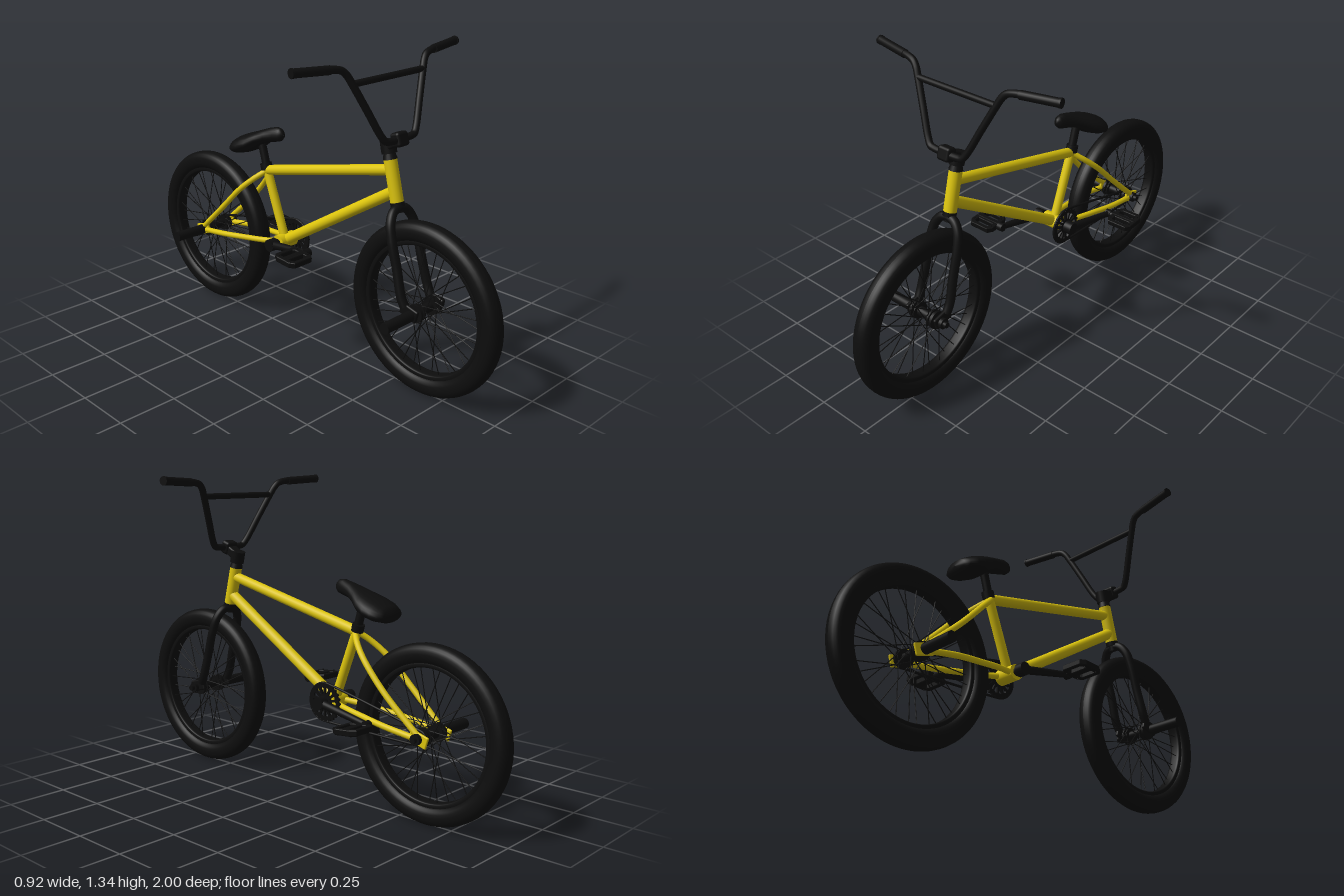
import * as THREE from 'three';
import { RoundedBoxGeometry } from 'three/addons/geometries/RoundedBoxGeometry.js';

const black = new THREE.MeshStandardMaterial({ color: 0x0d0d0d });
const yellow = new THREE.MeshStandardMaterial({ color: 0xdcc40c });
const V = (x, y, z) => new THREE.Vector3(x, y, z);

export function createModel() {
  const bike = new THREE.Group();
  bike.name = 'bicycle';

  const add = (parent, name, geo, mat = black) => {
    const m = new THREE.Mesh(geo, mat);
    m.name = name;
    parent.add(m);
    return m;
  };
  // Capped straight tube between two points
  const rod = (parent, name, a, b, r, mat = black, r2 = r, sides = 20) => {
    const m = add(parent, name, new THREE.CylinderGeometry(r2, r, a.distanceTo(b), sides), mat);
    m.position.copy(a).add(b).multiplyScalar(0.5);
    m.quaternion.setFromUnitVectors(V(0, 1, 0), b.clone().sub(a).normalize());
    return m;
  };
  // Bent tube through points
  const bent = (parent, name, pts, r, mat = black, closed = false) =>
    add(parent, name, new THREE.TubeGeometry(new THREE.CatmullRomCurve3(pts, closed, 'centripetal'), 90, r, 14, closed), mat);
  // Rod parallel to the axles
  const axial = (parent, name, x0, x1, y, z, r, mat = black) =>
    rod(parent, name, V(x0, y, z), V(x1, y, z), r, mat, r, 28);
  // Closed profile turned around the wheel axis
  const ring = (parent, name, c, hr, hx, power) => {
    const pts = [];
    for (let i = 0; i <= 24; i++) {
      const a = (i % 24) / 24 * Math.PI * 2, f = v => Math.sign(v) * Math.abs(v) ** power;
      pts.push(new THREE.Vector2(c + hr * f(Math.cos(a)), hx * f(Math.sin(a))));
    }
    add(parent, name, new THREE.LatheGeometry(pts, 72)).rotation.z = Math.PI / 2;
  };

  // Wheels with hub, crossed spokes and pegs
  const axleY = 0.365;
  for (const [name, z] of [['frontWheel', 0.64], ['rearWheel', -0.64]]) {
    const w = new THREE.Group();
    w.name = name;
    w.position.set(0, axleY, z);
    bike.add(w);
    ring(w, 'tire', 0.319, 0.041, 0.042, 0.85);
    ring(w, 'rim', 0.278, 0.013, 0.026, 0.5);
    axial(w, 'hub', -0.05, 0.05, 0, 0, 0.02);
    axial(w, 'axle', -0.1, 0.115, 0, 0, 0.012);
    axial(w, 'peg', -0.235, -0.09, 0, 0, 0.022);
    for (const s of [-1, 1]) {
      axial(w, 'hubFlange', s * 0.034, s * 0.041, 0, 0, 0.036);
      axial(w, 'hubGuard', s * 0.05, s * 0.062, 0, 0, 0.038);
      axial(w, 'axleNut', s * 0.082, s * 0.1, 0, 0, 0.022);
      for (let i = 0; i < 18; i++) {
        const a = (i + (s > 0 ? 0.5 : 0)) / 18 * Math.PI * 2;
        const h = a + (i % 2 ? 1.25 : -1.25);
        rod(w, 'spoke', V(s * 0.037, 0.031 * Math.cos(h), 0.031 * Math.sin(h)),
          V(s * 0.006, 0.272 * Math.cos(a), 0.272 * Math.sin(a)), 0.0021, black, 0.0021, 5);
      }
    }
  }

  // Frame
  const frame = new THREE.Group();
  frame.name = 'frame';
  bike.add(frame);
  const bb = V(0, 0.425, -0.155), seatTop = V(0, 0.735, -0.272);
  const headLow = V(0, 0.77, 0.484), headHigh = V(0, 0.935, 0.443);
  rod(frame, 'headTube', headLow, headHigh, 0.027, yellow);
  rod(frame, 'topTube', V(0, 0.893, 0.45), V(0, 0.726, -0.268), 0.022, yellow);
  rod(frame, 'downTube', V(0, 0.81, 0.47), bb, 0.024, yellow);
  rod(frame, 'seatTube', bb, seatTop, 0.02, yellow);
  axial(frame, 'bottomBracketShell', -0.046, 0.046, bb.y, bb.z, 0.033, yellow);
  for (const s of [-1, 1]) {
    bent(frame, 'seatStay', [V(s * 0.012, 0.72, -0.27), V(s * 0.045, 0.685, -0.31), V(s * 0.073, 0.63, -0.37),
      V(s * 0.085, 0.52, -0.48), V(s * 0.078, 0.38, -0.635)], 0.0125, yellow);
    bent(frame, 'chainStay', [V(s * 0.025, 0.425, -0.16), V(s * 0.05, 0.415, -0.24), V(s * 0.068, 0.4, -0.36),
      V(s * 0.082, 0.385, -0.48), V(s * 0.077, 0.362, -0.64)], 0.0125, yellow);
    const d = add(frame, 'dropout', new RoundedBoxGeometry(0.012, 0.05, 0.085, 3, 0.005), yellow);
    d.position.set(s * 0.076, 0.365, -0.642);
    d.rotation.x = -0.3;
  }

  // Fork with curved crown
  const fork = new THREE.Group();
  fork.name = 'fork';
  bike.add(fork);
  rod(fork, 'steerer', V(0, 0.73, 0.495), V(0, 0.985, 0.432), 0.019);
  rod(fork, 'lowerHeadset', V(0, 0.752, 0.489), headLow, 0.028);
  rod(fork, 'upperHeadset', headHigh, V(0, 0.962, 0.437), 0.029, black, 0.022);
  for (const s of [-1, 1]) {
    bent(fork, 'forkLeg', [V(0, 0.75, 0.493), V(s * 0.035, 0.74, 0.497), V(s * 0.062, 0.705, 0.508), V(s * 0.074, 0.64, 0.527),
      V(s * 0.075, 0.53, 0.558), V(s * 0.08, 0.43, 0.586), V(s * 0.078, 0.39, 0.604)], 0.019);
    const d = add(fork, 'forkDropout', new RoundedBoxGeometry(0.016, 0.05, 0.085, 3, 0.007));
    d.position.set(s * 0.077, 0.375, 0.628);
    d.rotation.x = 0.25;
  }

  // Stem and handlebar
  const steering = new THREE.Group();
  steering.name = 'steering';
  bike.add(steering);
  rod(steering, 'stemSteererClamp', V(0, 0.958, 0.438), V(0, 1.008, 0.426), 0.031);
  const stem = add(steering, 'stemBody', new RoundedBoxGeometry(0.05, 0.04, 0.075, 3, 0.008));
  stem.position.set(0, 1.003, 0.458);
  stem.rotation.x = -0.5;
  const clamp = add(steering, 'barClamp', new RoundedBoxGeometry(0.062, 0.058, 0.046, 3, 0.012));
  clamp.position.set(0, 1.023, 0.488);
  clamp.rotation.x = -0.3;
  const half = [V(0.06, 1.025, 0.49), V(0.082, 1.03, 0.489), V(0.1, 1.052, 0.482), V(0.15, 1.155, 0.453), V(0.2, 1.257, 0.424),
    V(0.217, 1.288, 0.415), V(0.235, 1.306, 0.409), V(0.265, 1.315, 0.404), V(0.36, 1.321, 0.39), V(0.45, 1.325, 0.376)];
  const barPoints = [...half.map(p => V(-p.x, p.y, p.z)).reverse(), ...half];
  const bar = new THREE.CatmullRomCurve3(barPoints, false, 'centripetal');
  add(steering, 'handlebar', new THREE.TubeGeometry(bar, 200, 0.0145, 14));
  rod(steering, 'crossbar', V(-0.197, 1.255, 0.425), V(0.197, 1.255, 0.425), 0.013);
  for (const s of [-1, 1]) {
    rod(steering, 'grip', V(s * 0.29, 1.3165, 0.4), V(s * 0.452, 1.325, 0.376), 0.0175);
    rod(steering, 'gripEnd', V(s * 0.449, 1.325, 0.3765), V(s * 0.457, 1.325, 0.375), 0.019);
  }

  // Seat post, clamp and lofted saddle
  rod(bike, 'seatPost', V(0, 0.72, -0.266), V(0, 0.87, -0.31), 0.018);
  rod(bike, 'seatClamp', V(0, 0.727, -0.27), V(0, 0.757, -0.279), 0.026);
  // Stations: z, half width, top, bottom
  const stations = [[-0.163, 0.001, 0.905, 0.903], [-0.167, 0.014, 0.921, 0.887], [-0.18, 0.023, 0.932, 0.875],
    [-0.205, 0.03, 0.934, 0.868], [-0.25, 0.044, 0.921, 0.858], [-0.29, 0.064, 0.906, 0.84], [-0.33, 0.087, 0.891, 0.808],
    [-0.37, 0.097, 0.877, 0.79], [-0.405, 0.094, 0.863, 0.781], [-0.435, 0.076, 0.847, 0.779],
    [-0.449, 0.055, 0.836, 0.787], [-0.454, 0.001, 0.812, 0.81]];
  const n = 28, pos = [], idx = [];
  stations.forEach(([z, w, top, bottom], k) => {
    for (let i = 0; i < n; i++) {
      const a = i / n * Math.PI * 2, h = top - bottom, base = bottom + h * 0.4;
      pos.push(w * Math.cos(a), base + Math.sin(a) * h * (Math.sin(a) > 0 ? 0.6 : 0.4), z);
      const j = (i + 1) % n, p = k * n;
      if (k < stations.length - 1) idx.push(p + i, p + n + i, p + j, p + j, p + n + i, p + n + j);
    }
  });
  const saddle = new THREE.BufferGeometry();
  saddle.setAttribute('position', new THREE.Float32BufferAttribute(pos, 3));
  saddle.setIndex(idx);
  saddle.computeVertexNormals();
  add(bike, 'saddle', saddle);

  // Drivetrain: sprocket with cut-outs, rear cog and chain
  const drive = new THREE.Group();
  drive.name = 'drivetrain';
  bike.add(drive);
  const disc = new THREE.Shape();
  for (let i = 0; i < 100; i++) {
    const a = i / 100 * Math.PI * 2, r = i % 4 < 2 ? 0.083 : 0.077;
    disc[i ? 'lineTo' : 'moveTo'](r * Math.cos(a), r * Math.sin(a));
  }
  for (let i = 0; i < 14; i++) {
    const a = i / 14 * Math.PI * 2, p = (r, d) => new THREE.Vector2(r * Math.cos(a + d), r * Math.sin(a + d));
    disc.holes.push(new THREE.Path([p(0.034, -0.08), p(0.06, -0.15), p(0.064, 0), p(0.06, 0.15), p(0.034, 0.08)]));
  }
  const sprocket = add(drive, 'sprocket', new THREE.ExtrudeGeometry(disc, { depth: 0.01, bevelEnabled: false }));
  sprocket.position.set(0.06, bb.y, bb.z);
  sprocket.rotation.y = Math.PI / 2;
  axial(drive, 'rearCog', 0.061, 0.069, axleY, -0.64, 0.03);
  const loop = [];
  const arc = (z, y, r, from, to) => {
    for (let i = 0; i <= 12; i++) {
      const a = from + (to - from) * i / 12;
      loop.push(V(0.065, y + r * Math.sin(a), z + r * Math.cos(a)));
    }
  };
  arc(bb.z, bb.y, 0.08, -1.6, 1.78);
  arc(-0.64, axleY, 0.029, 1.78, 4.68);
  bent(drive, 'chain', loop, 0.0052, black, true);
  axial(drive, 'crankSpindle', -0.095, 0.11, bb.y, bb.z, 0.017);

  // Cranks and pedals
  const outline = new THREE.Shape([[-0.061, -0.036], [-0.046, -0.058], [0.046, -0.058], [0.061, -0.036],
    [0.061, 0.036], [0.046, 0.058], [-0.046, 0.058], [-0.061, 0.036]].map(p => new THREE.Vector2(...p)));
  for (const s of [-1, 1])
    outline.holes.push(new THREE.Path([[-0.042, 0.014], [0.042, 0.014], [0.042, 0.035], [0.034, 0.043],
      [-0.034, 0.043], [-0.042, 0.035]].map(([x, y]) => new THREE.Vector2(x, s * y))));
  const pedalGeo = new THREE.ExtrudeGeometry(outline, { depth: 0.018, bevelThickness: 0.003, bevelSize: 0.002, bevelSegments: 1 });
  pedalGeo.translate(0, 0, -0.009).rotateX(-Math.PI / 2);
  for (const [s, x0, x1, px, y, z] of [[1, 0.092, 0.113, 0.199, 0.385, -0.418], [-1, 0.08, 0.1, 0.177, 0.465, 0.085]]) {
    rod(drive, 'crankArm', V(s * x0, bb.y, bb.z), V(s * x1, y, z), 0.018, black, 0.013);
    axial(drive, 'crankBoss', s * (x0 - 0.018), s * (x0 + 0.02), bb.y, bb.z, 0.027);
    axial(drive, 'crankEnd', s * (x1 - 0.013), s * (x1 + 0.013), y, z, 0.018);
    axial(drive, 'pedalAxle', s * x1, s * (px + 0.055), y, z, 0.013);
    const pedal = add(drive, 'pedal', pedalGeo);
    pedal.position.set(s * px, y, z);
    pedal.rotation.x = 0.08;
    // Grip pins on both faces
    for (const ex of [-0.05, 0.05]) for (const ez of [-0.032, 0.032])
      rod(pedal, 'pedalPin', V(ex, -0.017, ez), V(ex, 0.017, ez), 0.003, black, 0.003, 6);
  }
  return bike;
}
